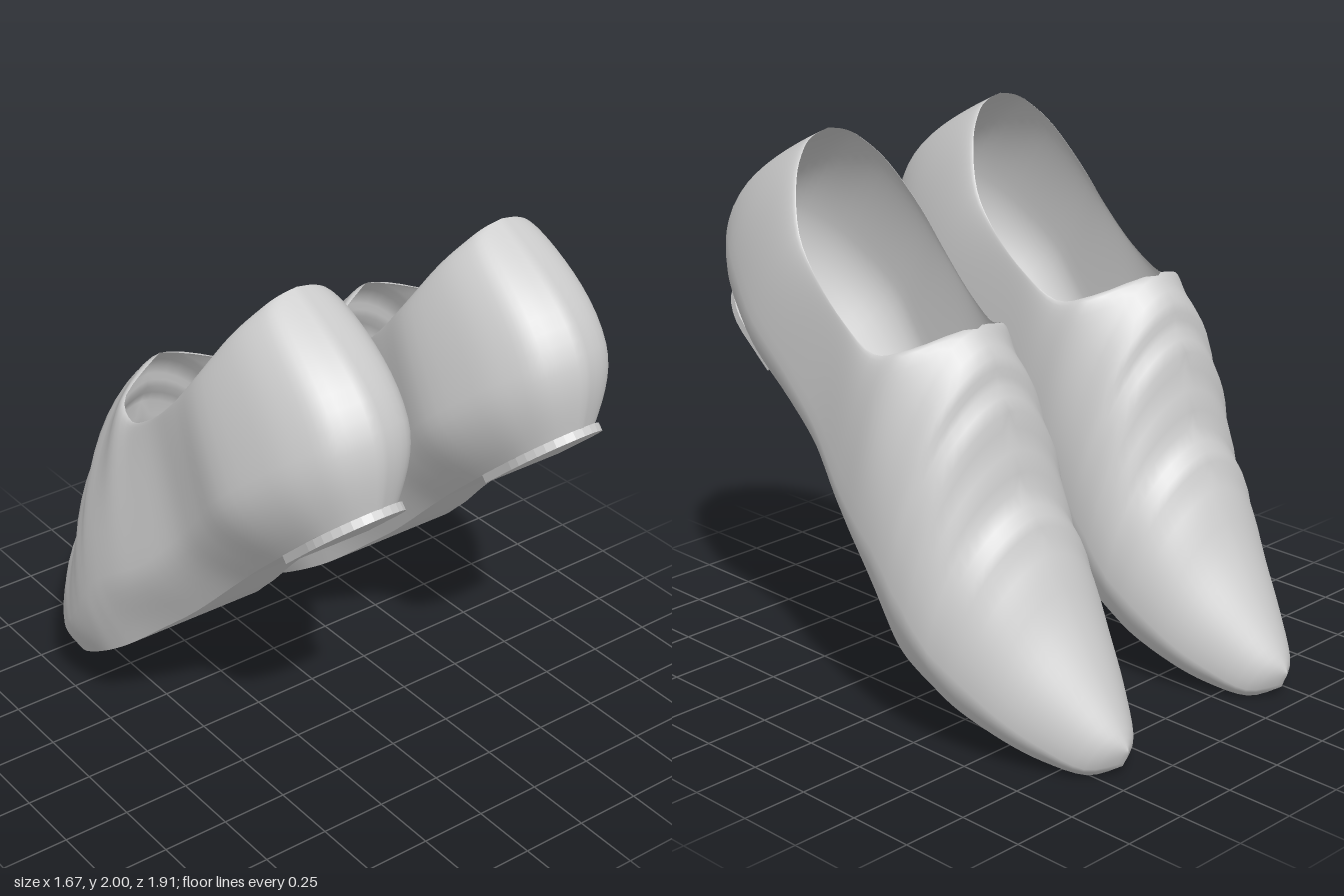
import * as THREE from 'three';
import { mergeVertices } from 'three/addons/utils/BufferGeometryUtils.js';

// Stations from heel to toe:
// sole edge z, y | top edge z, y | half widths: sole, widest, top (0 = closed top)
const STATIONS = [
  [0.94, 1.40, 0.49, 2.00, 0, 0, 0],
  [0.91, 1.375, 0.485, 1.985, 0.08, 0.13, 0.07],
  [0.86, 1.33, 0.47, 1.95, 0.13, 0.205, 0.13],
  [0.78, 1.26, 0.42, 1.86, 0.16, 0.275, 0.21],
  [0.64, 1.13, 0.33, 1.70, 0.165, 0.335, 0.28],
  [0.48, 0.985, 0.22, 1.56, 0.15, 0.32, 0.295],
  [0.32, 0.83, 0.09, 1.44, 0.135, 0.31, 0.29],
  [0.15, 0.65, -0.05, 1.36, 0.17, 0.34, 0.275],
  [0.02, 0.53, -0.17, 1.39, 0.22, 0.365, 0.215],
  [-0.09, 0.43, -0.28, 1.44, 0.27, 0.378, 0],
  [-0.16, 0.375, -0.36, 1.32, 0.295, 0.382, 0],
  [-0.24, 0.32, -0.41, 1.18, 0.31, 0.38, 0],
  [-0.36, 0.24, -0.48, 0.91, 0.30, 0.365, 0],
  [-0.46, 0.18, -0.575, 0.76, 0.285, 0.338, 0],
  [-0.60, 0.10, -0.68, 0.54, 0.23, 0.28, 0],
  [-0.72, 0.045, -0.80, 0.35, 0.17, 0.21, 0],
  [-0.84, 0.002, -0.92, 0.17, 0.08, 0.115, 0],
  [-0.93, 0.04, -0.955, 0.10, 0, 0, 0],
];
const SUB = 4, ROWS = 20;

// Catmull-Rom interpolation of every station field
function smoothStations() {
  const at = (i) => STATIONS[Math.min(Math.max(i, 0), STATIONS.length - 1)];
  const out = [];
  for (let i = 0; i < STATIONS.length - 1; i++) {
    for (let k = 0; k < SUB; k++) {
      const t = k / SUB;
      out.push(at(i).map((b, f) => {
        const a = at(i - 1)[f], c = at(i + 1)[f], d = at(i + 2)[f];
        const v = b + 0.5 * t * (c - a + t * (2 * a - 5 * b + 4 * c - d + t * (3 * (b - c) + d - a)));
        return f < 4 && f % 2 === 0 ? v : Math.max(0, v);
      }));
    }
  }
  out.push(at(STATIONS.length));
  // Small lace ridges across the closed instep
  for (const s of out) {
    if (s[6] === 0 && s[2] < -0.3 && s[2] > -0.62) s[2] += 0.012 * Math.sin(s[3] * 36);
  }
  return out;
}

const centreLine = (sz) => 0.425 + 0.03 * Math.exp(-(((sz + 0.1) / 0.4) ** 2));

// Point on one flank of a station; v runs from sole edge to top edge
function flankPoint([sz, sy, tz, ty, ws, wm, wr], v, flank) {
  const m = THREE.MathUtils.mapLinear(THREE.MathUtils.clamp(sz, -0.3, 0.6), -0.3, 0.6, 0.25, 0.4);
  const split = 0.35;
  let h, w;
  if (v < split) {
    h = m * v / split;
    w = ws + (wm - ws) * Math.sin(v / split * Math.PI / 2);
  } else {
    const a = (v - split) / (1 - split) * Math.PI / 2;
    h = m + (1 - m) * Math.sin(a);
    w = v === 1 ? wr : wr + (wm - wr) * Math.cos(a) ** 1.15;
  }
  const bulge = 0.17 * Math.max(0, (sz - 0.5) / 0.44) ** 2 * Math.sin(Math.PI * h);
  return [centreLine(sz) + flank * w, sy + (ty - sy) * h + bulge * 0.2, sz + (tz - sz) * h + bulge];
}

// Adds a grid of points to the arrays, optionally with reversed winding
function addGrid(positions, indices, rows, flip) {
  const base = positions.length / 3, n = rows[0].length;
  rows.forEach((row) => row.forEach((p) => positions.push(...p)));
  for (let i = 0; i < rows.length - 1; i++) {
    for (let j = 0; j < n - 1; j++) {
      const a = base + i * n + j, b = a + n, c = a + 1, d = b + 1;
      if (flip) indices.push(a, c, b, b, c, d);
      else indices.push(a, b, c, b, d, c);
    }
  }
}

function gridMesh(grids, name, material) {
  const positions = [], indices = [];
  grids.forEach(([rows, flip]) => addGrid(positions, indices, rows, flip));
  let geometry = new THREE.BufferGeometry();
  geometry.setAttribute('position', new THREE.Float32BufferAttribute(positions, 3));
  geometry.setIndex(indices);
  geometry = mergeVertices(geometry, 1e-4);
  geometry.computeVertexNormals();
  const mesh = new THREE.Mesh(geometry, material);
  mesh.name = name;
  return mesh;
}

function createShoe(side, stations, material) {
  const shoe = new THREE.Group();
  shoe.name = side > 0 ? 'leftShoe' : 'rightShoe';
  const place = ([x, y, z]) => [side * x, y, z];

  // Upper: two flanks that meet at heel, instep and toe
  const flanks = [1, -1].map((flank) => [
    stations.map((s) => Array.from({ length: ROWS + 1 }, (_, j) => place(flankPoint(s, j / ROWS, flank)))),
    side * flank < 0,
  ]);
  shoe.add(gridMesh(flanks, 'upper', material));

  // Sole: strip between the two lower edges
  const sole = stations.map((s) => [-1, 0, 1].map((f) => place([centreLine(s[0]) + f * s[4], s[1], s[0]])));
  shoe.add(gridMesh([[sole, side < 0]], 'sole', material));

  // Heel lift: thin rounded plate on the back of the sole
  const shape = new THREE.Shape();
  shape.moveTo(-0.17, 0);
  shape.lineTo(0.17, 0);
  shape.lineTo(0.175, 0.18);
  shape.bezierCurveTo(0.175, 0.3, 0.1, 0.4, 0, 0.4);
  shape.bezierCurveTo(-0.1, 0.4, -0.175, 0.3, -0.175, 0.18);
  const heel = new THREE.Mesh(
    new THREE.ExtrudeGeometry(shape, { depth: 0.03, bevelEnabled: false, curveSegments: 8 }), material);
  heel.name = 'heelLift';
  heel.rotation.x = 0.838;
  heel.position.set(side * 0.425, 1.132, 0.64);
  shoe.add(heel);
  return shoe;
}

export function createModel() {
  const model = new THREE.Group();
  model.name = 'pairOfShoes';
  const material = new THREE.MeshStandardMaterial({ color: 0xcccccc, side: THREE.DoubleSide });
  const stations = smoothStations();
  for (const side of [1, -1]) model.add(createShoe(side, stations, material));
  return model;
}
